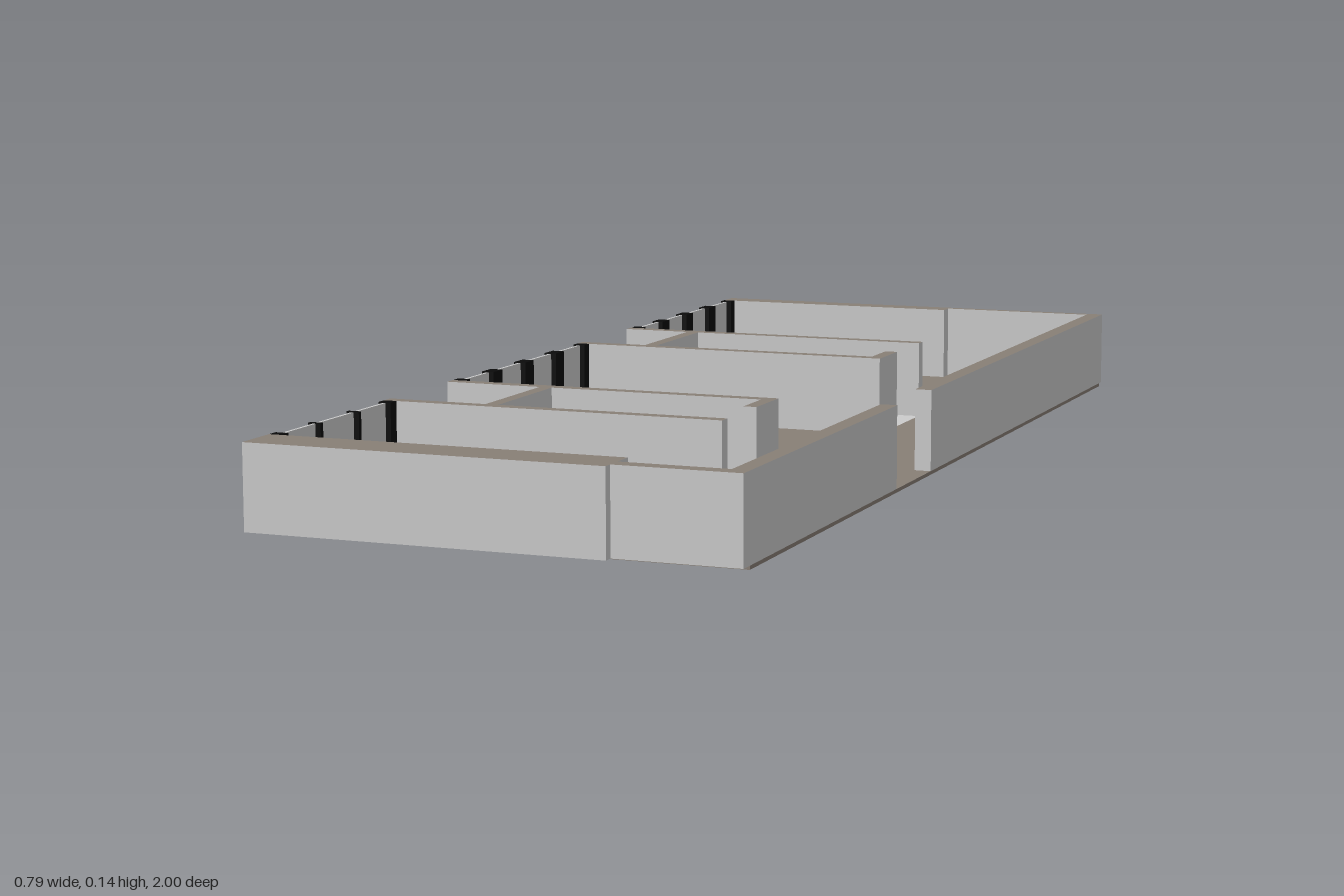
import * as THREE from 'three';

const mat = (name, color) => {
  const m = new THREE.MeshStandardMaterial({ color });
  m.name = name;
  return m;
};

export function createModel() {
  const plaster = mat('plaster', 0xcccccc);
  const brown = mat('brown floor', 0x887f76);
  const black = mat('black frame', 0x0a0a0a);
  const model = new THREE.Group();
  model.name = 'floorPlan';

  const BASE = 0.006, TOP = 0.142, LEFT = -0.395, RIGHT = 0.395, HALL = 0.192;

  // Box given by its limits
  const box = (parent, name, material, x0, x1, y0, y1, z0, z1) => {
    const mesh = new THREE.Mesh(new THREE.BoxGeometry(x1 - x0, y1 - y0, z1 - z0), material);
    mesh.position.set((x0 + x1) / 2, (y0 + y1) / 2, (z0 + z1) / 2);
    mesh.name = name;
    parent.add(mesh);
  };

  // Walls: plaster sides with a brown cut top
  const wallFaces = [plaster, plaster, brown, plaster, plaster, plaster];
  const wall = (name, x0, x1, z0, z1) => box(model, name, wallFaces, x0, x1, BASE, TOP, z0, z1);

  // Outer walls, with the entrance gap on the right
  wall('backWallThick', LEFT, 0.08, -1, -0.958);
  wall('backWallThin', 0.08, 0.367, -1, -0.985);
  wall('rightWallBack', 0.367, RIGHT, -1, 0.12);
  wall('rightWallFront', 0.367, RIGHT, 0.3, 0.984);
  wall('frontWallThick', LEFT, HALL, 0.92, 1);
  wall('frontWallThin', HALL, 0.367, 0.957, 0.984);

  // Bathrooms: two long partitions, an end wall and a door stub
  const baths = [
    { z0: -0.467, z1: -0.217, x: -0.27, stub: [-0.315, -0.239] },
    { z0: 0.299, z1: 0.549, x: -0.224, stub: [0.321, 0.4] },
  ];
  const T = 0.022;
  for (const { z0, z1, x, stub } of baths) {
    wall('bathroomPartition', LEFT, HALL, z0, z0 + T);
    wall('bathroomPartition', LEFT, HALL, z1 - T, z1);
    wall('bathroomEndWall', x, x + T, z0 + T, z1 - T);
    wall('bathroomDoorStub', HALL - T, HALL, ...stub);
    box(model, 'bathroomFloor', plaster, x, HALL, 0, BASE, z0, z1);
  }

  // Brown floor slab, notched around the bathrooms
  const outline = [[LEFT, -0.985], [RIGHT, -0.985], [RIGHT, 0.96], [LEFT, 0.96]];
  for (const { z0, z1 } of [...baths].reverse()) {
    outline.push([LEFT, z1], [HALL, z1], [HALL, z0], [LEFT, z0]);
  }
  const shape = new THREE.Shape(outline.map(([x, z]) => new THREE.Vector2(x, -z)));
  const slab = new THREE.ExtrudeGeometry(shape, { depth: BASE, bevelEnabled: false });
  slab.rotateX(-Math.PI / 2);
  const floor = new THREE.Mesh(slab, brown);
  floor.name = 'floor';
  model.add(floor);

  // Windows: bottom rail, end posts, mullions and a thin pane
  const addWindow = (z0, z1, panes, mullion, rail) => {
    const g = new THREE.Group();
    g.name = 'window';
    model.add(g);
    const x0 = LEFT, x1 = -0.373, post = 0.02;
    box(g, 'bottomRail', black, x0, x1, BASE, rail, z0, z1);
    box(g, 'endPost', black, x0, x1, rail, TOP, z0, z0 + post);
    box(g, 'endPost', black, x0, x1, rail, TOP, z1 - post, z1);
    for (let i = 1; i < panes; i++) {
      const z = z0 + ((z1 - z0) * i) / panes;
      box(g, 'mullion', black, x0, x1, rail, TOP, z - mullion / 2, z + mullion / 2);
    }
    box(g, 'pane', plaster, -0.387, -0.382, rail, TOP - 0.001, z0 + post, z1 - post);
  };
  addWindow(-0.958, -0.467, 4, 0.035, 0.034);
  addWindow(-0.217, 0.299, 4, 0.035, 0.034);
  addWindow(0.549, 0.92, 3, 0.008, 0.026);

  return model;
}
